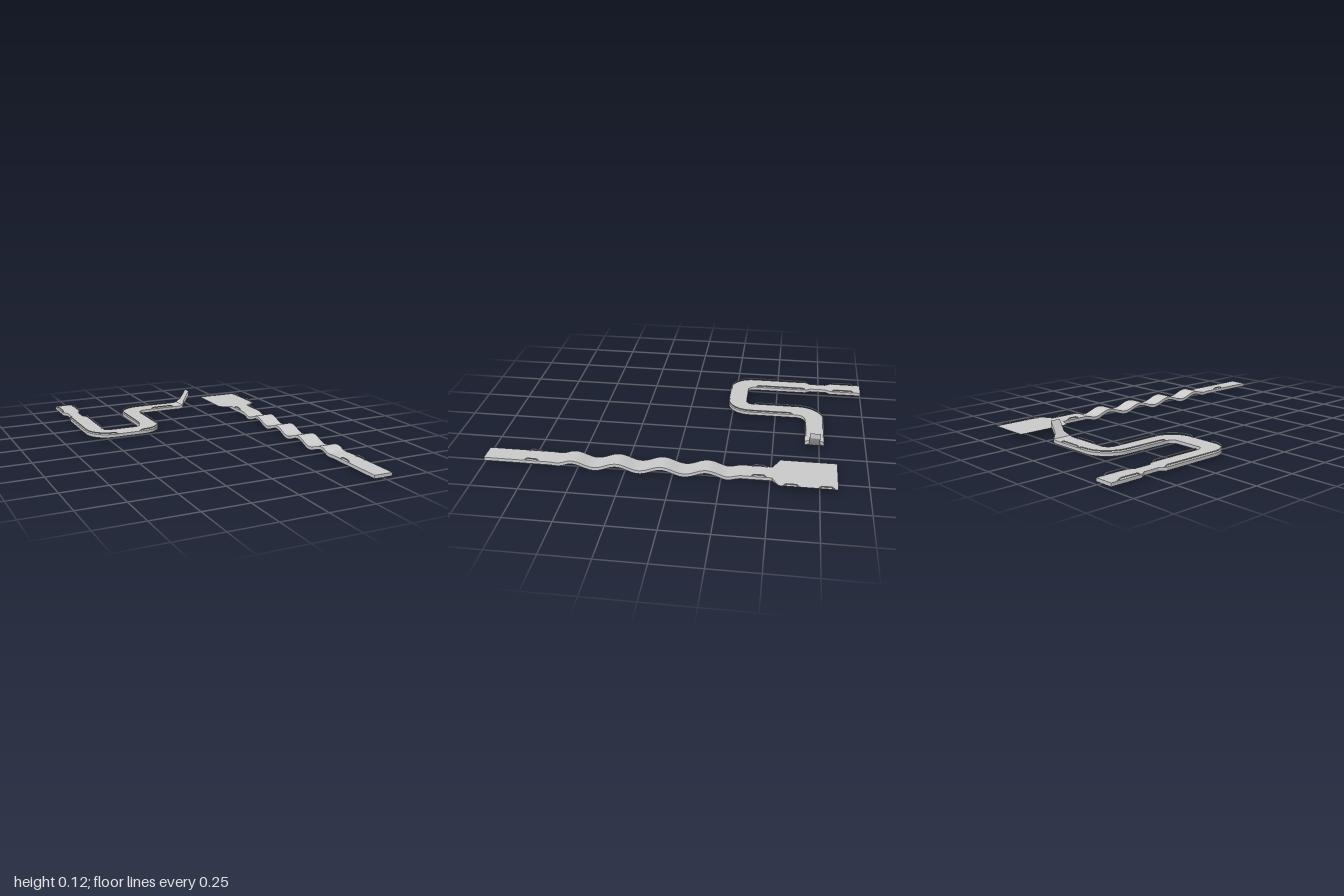
import * as THREE from 'three';
import { toCreasedNormals } from 'three/addons/utils/BufferGeometryUtils.js';

const PI = Math.PI;
const LOW = 0.015, TOP = 0.033;
const material = new THREE.MeshStandardMaterial({ color: 0xcccccc });

// Solid through rings of points, each ring counter-clockwise seen from the far end
function loft(rings) {
  const pos = [], n = rings[0].length, last = rings.length - 1;
  const tri = (a, b, c) => pos.push(...a, ...b, ...c);
  for (let i = 0; i < last; i++) {
    for (let j = 0; j < n; j++) {
      const k = (j + 1) % n;
      tri(rings[i][j], rings[i][k], rings[i + 1][k]);
      tri(rings[i][j], rings[i + 1][k], rings[i + 1][j]);
    }
  }
  for (let j = 1; j < n - 1; j++) {
    tri(rings[0][0], rings[0][j + 1], rings[0][j]);
    tri(rings[last][0], rings[last][j], rings[last][j + 1]);
  }
  const g = new THREE.BufferGeometry();
  g.setAttribute('position', new THREE.Float32BufferAttribute(pos, 3));
  return toCreasedNormals(g, 0.5);
}

function add(group, name, geometry) {
  const mesh = new THREE.Mesh(geometry, material);
  mesh.name = name;
  group.add(mesh);
}

// Points [x, z] on an arc
function arc(cx, cz, r, from, to) {
  return Array.from({ length: 9 }, (_, i) => {
    const a = from + (to - from) * i / 8;
    return [cx + r * Math.cos(a), cz + r * Math.sin(a)];
  });
}

// Thin guard rail along [x, z] points, with both ends sloping down to the track
function rail(group, points) {
  const p = points.map(([x, z]) => new THREE.Vector3(x, 0.043, z));
  const slope = (end, next) => {
    const foot = end.clone();
    end.add(next.clone().sub(end).setLength(0.014));
    foot.y = TOP - 0.002;
    return foot;
  };
  const n = p.length;
  const first = slope(p[0], p[1]);
  const final = slope(p[n - 1], p[n - 2]);
  const all = [first, ...p, final];
  const path = new THREE.CurvePath();
  for (let i = 0; i < all.length - 1; i++) path.add(new THREE.LineCurve3(all[i], all[i + 1]));
  const segments = Math.max(16, Math.ceil(path.getLength() / 0.008));
  add(group, 'guardRail', new THREE.TubeGeometry(path, segments, 0.0032, 6));
}

function windingTrack() {
  const g = new THREE.Group();
  g.name = 'windingTrack';

  // Flat S-shaped bed with a narrow neck near its start
  const s = new THREE.Shape();
  const lines = (...pts) => pts.forEach(([x, y]) => s.lineTo(x, y));
  s.moveTo(-0.6, 1);
  lines([-0.6, 0.82], [-0.58, 0.79], [-0.58, 0.7], [-0.6, 0.67]);
  s.absarc(-0.47, 0.35, 0.13, PI, 1.5 * PI, false);
  s.absarc(-0.295, 0.35, 0.13, 1.5 * PI, 2 * PI, false);
  s.absarc(-0.115, 0.62, 0.05, PI, PI / 2, true);
  lines([0.13, 0.67], [0.13, 0.775]);
  s.absarc(-0.12, 0.625, 0.15, PI / 2, PI, false);
  s.absarc(-0.305, 0.36, 0.035, 0, -PI / 2, true);
  s.absarc(-0.46, 0.36, 0.035, 1.5 * PI, PI, true);
  lines([-0.495, 0.67], [-0.515, 0.7], [-0.515, 0.79], [-0.495, 0.82], [-0.495, 1]);
  s.closePath();
  const bed = new THREE.ExtrudeGeometry(s, { depth: TOP - LOW, bevelEnabled: false, curveSegments: 12 });
  bed.rotateX(-PI / 2).translate(0, LOW, 0);
  add(g, 'trackBed', toCreasedNormals(bed, 0.5));

  // Kicked-up end: top x, top y, bottom x, bottom y, half width
  const stations = [
    [0.13, 0.033, 0.13, 0.015, 0.0525], [0.145, 0.037, 0.15, 0.02, 0.0525],
    [0.165, 0.062, 0.166, 0.037, 0.028], [0.2, 0.12, 0.2, 0.09, 0.028],
  ];
  const cz = -0.7225;
  add(g, 'launchRamp', loft(stations.map(([tx, ty, bx, by, w]) => [
    [bx, by, cz + w], [bx, by, cz - w], [tx, ty, cz - w], [tx, ty, cz + w],
  ])));

  // Rails beside the start, the bends and the last straight
  for (const x of [-0.597, -0.498]) rail(g, [[x, -0.96], [x, -0.83]]);
  rail(g, [[-0.597, -0.68], ...arc(-0.47, -0.35, 0.127, PI, PI / 2), [-0.45, -0.223]]);
  rail(g, [[-0.498, -0.67], [-0.498, -0.37]]);
  rail(g, [[-0.32, -0.223], ...arc(-0.295, -0.35, 0.127, PI / 2, 0), [-0.168, -0.6]]);
  rail(g, [[-0.267, -0.37], ...arc(-0.12, -0.625, 0.147, PI, 1.5 * PI), [-0.07, -0.772]]);
  for (const z of [-0.772, -0.673]) rail(g, [[-0.07, z], [0.08, z]]);
  return g;
}

function wavyTrack() {
  const g = new THREE.Group();
  g.name = 'wavyTrack';
  const x0 = 0.425, x1 = 0.53;

  // Straight strip with four ripples fading out at both ends
  const rings = [];
  for (let i = 0; i <= 150; i++) {
    const z = -0.51 + 1.51 * i / 150;
    const fade = THREE.MathUtils.smoothstep(z, -0.38, -0.27) * (1 - THREE.MathUtils.smoothstep(z, 0.54, 0.65));
    const wave = 0.0148 * fade * Math.sin(2 * PI * (0.587 - z) / 0.235);
    const b = LOW + wave, t = TOP + wave;
    rings.push([[x0, b, z], [x1, b, z], [x1, t, z], [x0, t, z]]);
  }
  add(g, 'wavyStrip', loft(rings));

  // Broad landing plate, its underside tapering to thin edges
  const under = [[x0, -0.51], [x1, -0.51], [x1, -0.57], [x1, -0.75], [x0, -0.75], [x0, -0.57]];
  const upper = [[x0, -0.51], [x1, -0.51], [0.597, -0.545], [0.597, -0.84], [0.35, -0.84], [0.35, -0.545]];
  const level = (pts, y) => pts.map(([x, z]) => [x, y, z]);
  add(g, 'landingPlate', loft([level(under, LOW), level(upper, TOP)]));

  // Short rails on the strip and along the plate's outer edge
  for (const x of [x0 + 0.005, x1 - 0.005]) {
    for (const z of [-0.48, 0.705]) rail(g, [[x, z], [x, z + 0.075]]);
  }
  for (const z of [-0.82, -0.645]) rail(g, [[0.591, z], [0.591, z + 0.075]]);
  return g;
}

export function createModel() {
  const model = new THREE.Group();
  model.name = 'trackPieces';
  model.add(windingTrack(), wavyTrack());
  return model;
}
